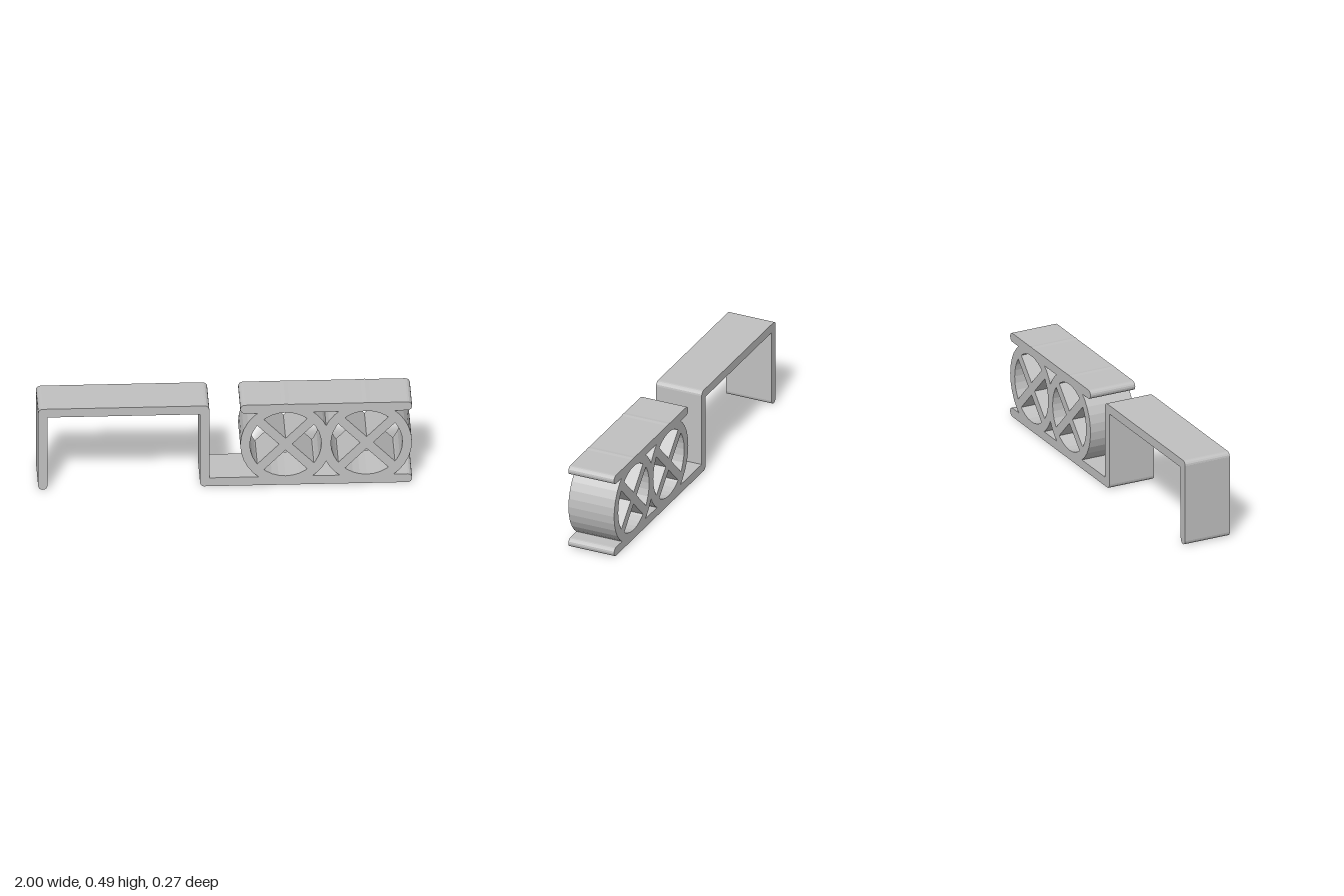
import * as THREE from 'three';

export function createModel() {
  const model = new THREE.Group();
  model.name = 'clipBracket';
  const grey = new THREE.MeshStandardMaterial({ color: 0xc0c0c0 });
  grey.name = 'plain grey';
  const depth = 0.27, r = 0.025;

  // Extrude a front outline through the full depth, centred on z = 0
  function extrude(name, shape, curveSegments, parent = model) {
    const geo = new THREE.ExtrudeGeometry(shape, { depth, bevelEnabled: false, curveSegments });
    geo.translate(0, 0, -depth / 2);
    const mesh = new THREE.Mesh(geo, grey);
    mesh.name = name;
    parent.add(mesh);
    return mesh;
  }

  // Strip with rounded ends, running between two centre points
  function strip(name, x1, y1, x2, y2) {
    const a = Math.atan2(y2 - y1, x2 - x1), q = Math.PI / 2;
    const s = new THREE.Shape();
    s.absarc(x2, y2, r, a - q, a + q, false);
    s.absarc(x1, y1, r, a + q, a + 3 * q, false);
    extrude(name, s, 4);
  }

  // Hook and base strips; the rounded ends meet at the corners
  const top = 0.461, low = r;
  strip('hookLeg', -0.975, low, -0.975, top - 0.001);
  strip('hookTop', -0.975, top, -0.11, top);
  strip('middleLeg', -0.11, low, -0.11, top);
  strip('basePlate', -0.11, low + 0.001, 0.973, low + 0.001);
  strip('upperPlate', 0.105, top - 0.001, 0.973, top - 0.001);

  // Two rings, each with a diagonal cross inside
  const cy = 0.245, outer = 0.242, inner = 0.191;
  for (const [side, cx] of [['inner', 0.322], ['outer', 0.755]]) {
    const wheel = new THREE.Group();
    wheel.name = side + 'Wheel';
    wheel.position.set(cx, cy, 0);
    model.add(wheel);

    const ring = new THREE.Shape().absarc(0, 0, outer, 0, Math.PI * 2, false);
    ring.holes.push(new THREE.Path().absarc(0, 0, inner, 0, Math.PI * 2, true));
    extrude('ring', ring, 16, wheel);

    for (const tilt of [1, -1]) {
      const spoke = new THREE.Mesh(new THREE.BoxGeometry(0.42, 0.05, depth), grey);
      spoke.name = 'crossSpoke';
      spoke.rotation.z = tilt * Math.PI / 4;
      wheel.add(spoke);
    }
  }
  return model;
}
